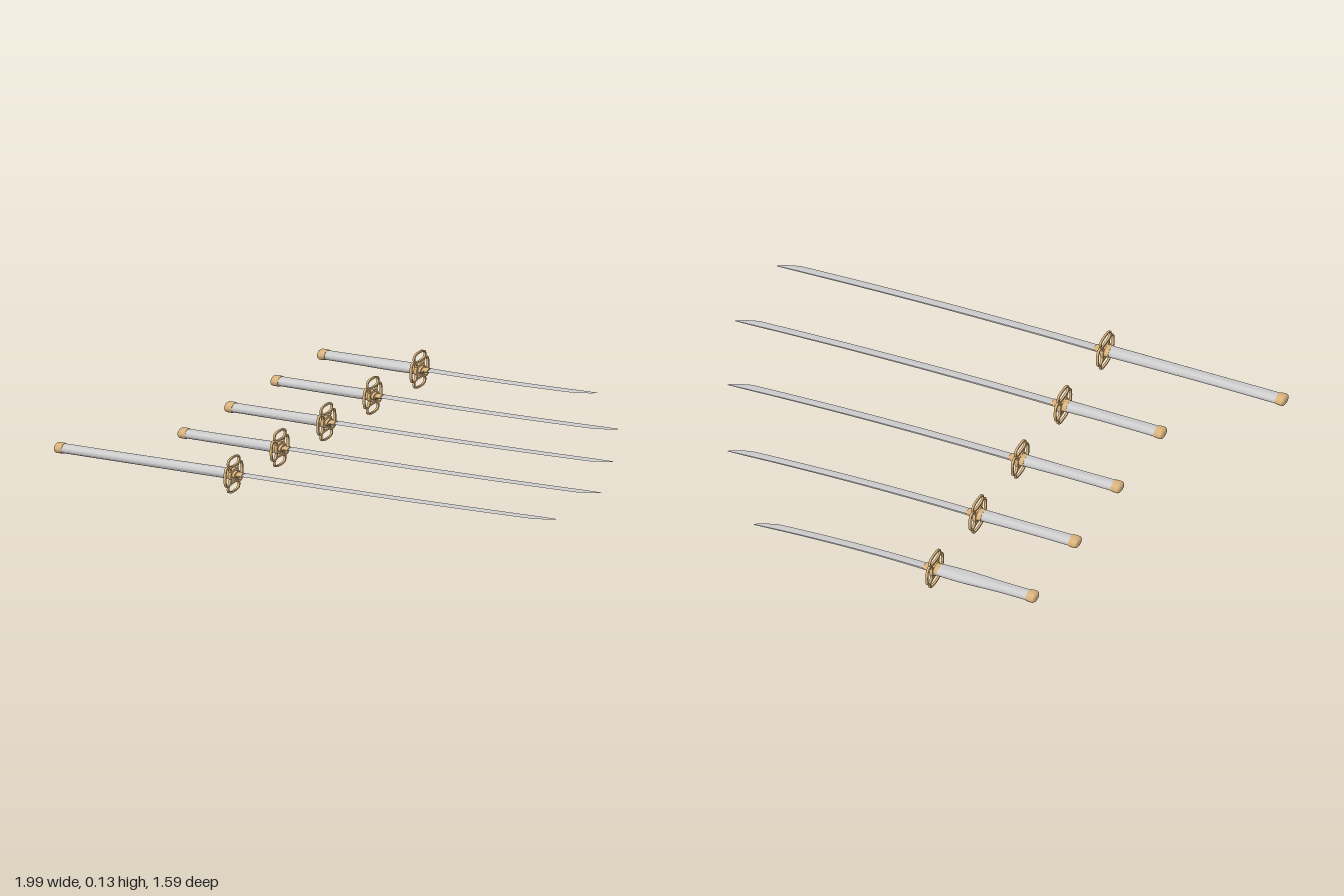
import * as THREE from 'three';
import { toCreasedNormals } from 'three/addons/utils/BufferGeometryUtils.js';

const steel = new THREE.MeshStandardMaterial({ color: 0xcccccc });
const brass = new THREE.MeshStandardMaterial({ color: 0xd9b27c });

// Skin a row of closed cross-sections running along +x, with flat end caps
function loft(rings) {
  const n = rings[0].length, pos = [], idx = [];
  rings.forEach(r => r.forEach(p => pos.push(...p)));
  for (let i = 0; i < rings.length - 1; i++) {
    for (let j = 0; j < n; j++) {
      const a = i * n + j, b = i * n + (j + 1) % n;
      idx.push(a, a + n, b, b, a + n, b + n);
    }
  }
  const last = (rings.length - 1) * n;
  for (let j = 1; j < n - 1; j++) {
    idx.push(0, j, j + 1, last, last + j + 1, last + j);
  }
  const g = new THREE.BufferGeometry();
  g.setAttribute('position', new THREE.Float32BufferAttribute(pos, 3));
  g.setIndex(idx);
  return toCreasedNormals(g, 0.6);
}

// Oval section: position x, half width along z, half height, sideways offset
function oval(x, hz, hy, cz = 0, n = 28) {
  return Array.from({ length: n }, (_, j) => {
    const a = j / n * Math.PI * 2;
    return [x, Math.sin(a) * hy, cz + Math.cos(a) * hz];
  });
}

function mesh(name, geometry, material) {
  const m = new THREE.Mesh(geometry, material);
  m.name = name;
  return m;
}

// Rounded-square outline used for the guard's loops
function squircle(target, cx, cy, rx, ry) {
  const pts = [];
  for (let i = 0; i < 36; i++) {
    const a = i / 36 * Math.PI * 2, c = Math.cos(a), s = Math.sin(a);
    pts.push(new THREE.Vector2(
      cx + rx * Math.sign(c) * Math.abs(c) ** 0.75,
      cy + ry * Math.sign(s) * Math.abs(s) ** 0.75));
  }
  return target.setFromPoints(pts);
}

// Openwork guard: four overlapping loops around a solid oval plate
function makeGuard() {
  const g = new THREE.Group(), wire = 0.006;
  g.name = 'guard';
  const plate = (name, cx, cy, rx, ry, open, depth) => {
    const s = squircle(new THREE.Shape(), cx, cy, rx, ry);
    if (open) s.holes.push(squircle(new THREE.Path(), cx, cy, rx - wire, ry - wire));
    const geo = new THREE.ExtrudeGeometry(s, { depth, bevelEnabled: false });
    geo.translate(0, 0, -depth / 2).rotateY(Math.PI / 2);
    g.add(mesh(name, toCreasedNormals(geo, 0.6), brass));
  };
  for (const s of [-1, 1]) {
    plate('guardEndLoop', 0, s * 0.047, 0.046, 0.02, true, 0.008);
    plate('guardSideLoop', s * 0.046, 0, 0.024, 0.038, true, 0.009);
  }
  plate('guardPlate', 0, 0, 0.034, 0.02, false, 0.012);
  return g;
}

// Curved single-edged blade: spine toward -z, cutting edge toward +z
function makeBlade(length) {
  const start = 0.012, point = 0.08, rings = [], stations = [];
  for (let i = 0; i <= 20; i++) stations.push(start + (length - point - start) * i / 20);
  for (const d of [0.065, 0.05, 0.035, 0.022, 0.011, 0.004, 0.0005]) stations.push(length - d);
  for (const x of stations) {
    const u = x / length, d = Math.min(1, (length - x) / point);
    const spine = -0.02 + 0.036 * u - 0.046 * u * u;
    const w = (0.038 - 0.006 * u) * d ** 0.6;
    const t = (0.0045 - 0.0018 * u) * d ** 0.3;
    rings.push([
      [x, 0, spine + w], [x, t, spine + w * 0.35], [x, t * 0.7, spine],
      [x, -t * 0.7, spine], [x, -t, spine + w * 0.35],
    ]);
  }
  return mesh('blade', loft(rings), steel);
}

// Sword with its guard at the local origin
function makeSword({ grip, blade, flared }) {
  const g = new THREE.Group();
  g.name = 'sword';
  const bend = x => -0.006 * (x / grip) ** 2;
  // Grip: gently waisted, or swelling toward the guard
  const rings = [];
  for (let i = 0; i <= 16; i++) {
    const k = i / 16, x = -grip + 0.03 + (grip - 0.05) * k;
    const hz = flared
      ? 0.025 + 0.008 * THREE.MathUtils.smoothstep(k, 0.25, 0.75) - 0.004 * Math.max(0, k - 0.8) * 5
      : 0.0265 - 0.002 * Math.sin(Math.PI * k);
    rings.push(oval(x, hz, 0.0165 + 0.002 * k, bend(x)));
  }
  g.add(mesh('grip', loft(rings), steel));
  // Pommel cap with rounded end
  const cap = [[0, 0.02, 0.012], [0.003, 0.026, 0.0165], [0.008, 0.029, 0.019],
    [0.026, 0.029, 0.019], [0.033, 0.0275, 0.018]];
  g.add(mesh('pommelCap', loft(cap.map(([x, z, y]) => oval(x - grip, z, y, bend(x - grip)))), brass));
  // Ferrule behind the guard and collar in front of it
  g.add(mesh('ferrule', loft([oval(-0.024, 0.028, 0.019), oval(-0.004, 0.029, 0.02)]), brass));
  g.add(mesh('bladeCollar', loft([oval(0.004, 0.026, 0.013), oval(0.016, 0.025, 0.012),
    oval(0.017, 0.021, 0.008), oval(0.04, 0.02, 0.007)]), brass));
  g.add(makeGuard(), makeBlade(blade));
  return g;
}

export function createModel() {
  const model = new THREE.Group();
  model.name = 'swordSet';
  const swords = [
    { x: -0.275, z: -0.725, grip: 0.405, blade: 0.7, flared: true },
    { x: -0.279, z: -0.363, grip: 0.403, blade: 0.972 },
    { x: -0.28, z: 0, grip: 0.403, blade: 1.138 },
    { x: -0.284, z: 0.36, grip: 0.403, blade: 1.278 },
    { x: -0.285, z: 0.722, grip: 0.715, blade: 1.28 },
  ];
  for (const s of swords) {
    const sword = makeSword(s);
    sword.position.set(s.x, 0.067, s.z);
    model.add(sword);
  }
  return model;
}
